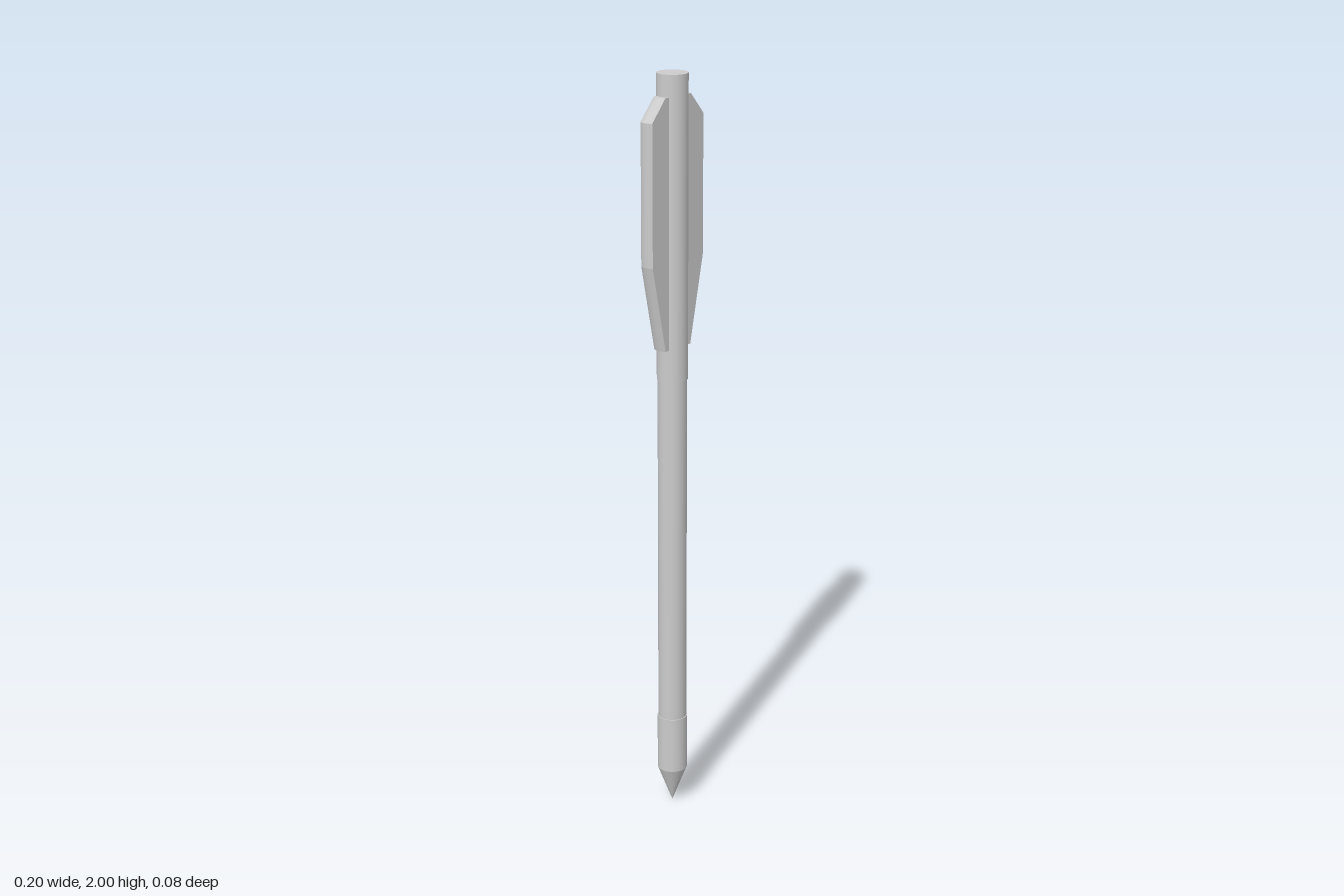
import * as THREE from 'three';

const material = new THREE.MeshStandardMaterial({ color: 0xcccccc });

function add(group, name, geometry, y = 0) {
  const mesh = new THREE.Mesh(geometry, material);
  mesh.name = name;
  mesh.position.y = y;
  group.add(mesh);
  return mesh;
}

function rod(radius, y0, y1) {
  return new THREE.CylinderGeometry(radius, radius, y1 - y0, 32).translate(0, (y0 + y1) / 2, 0);
}

// Fin: rounded-edge cross-section swept upward, its outer edge following the levels
function finGeometry() {
  const half = 0.019, bulge = 0.006, root = 0.03;
  const levels = [[1.305, 0.054], [1.53, 0.102], [1.89, 0.102], [1.945, 0.054]];
  const section = new THREE.Shape();
  section.moveTo(0, -half);
  for (let i = 0; i <= 6; i++) {
    const t = i / 3 - 1;
    section.lineTo(1 - bulge * t * t, t * half);
  }
  section.lineTo(0, half);
  section.closePath();
  const geometry = new THREE.ExtrudeGeometry(section, { depth: 3, steps: 3, bevelEnabled: false });
  const p = geometry.attributes.position;
  for (let i = 0; i < p.count; i++) {
    const [y, outer] = levels[Math.round(p.getZ(i))];
    const u = p.getX(i);
    p.setXYZ(i, u > 0.5 ? outer - (1 - u) : root, y, -p.getY(i));
  }
  geometry.computeVertexNormals();
  return geometry;
}

export function createModel() {
  const model = new THREE.Group();
  model.name = 'finnedBolt';

  // Pointed head
  add(model, 'tip', new THREE.ConeGeometry(0.04, 0.105, 32).rotateX(Math.PI), 0.0525);
  add(model, 'headCollar', rod(0.04, 0.105, 0.262));

  // Slightly slimmer shaft and the tail sleeve carrying the fins
  add(model, 'shaft', rod(0.038, 0.255, 1.225));
  add(model, 'tailSleeve', rod(0.04, 1.22, 2));

  // Two opposite fins
  const fin = finGeometry();
  add(model, 'leftFin', fin);
  add(model, 'rightFin', fin).rotation.y = Math.PI;

  return model;
}
